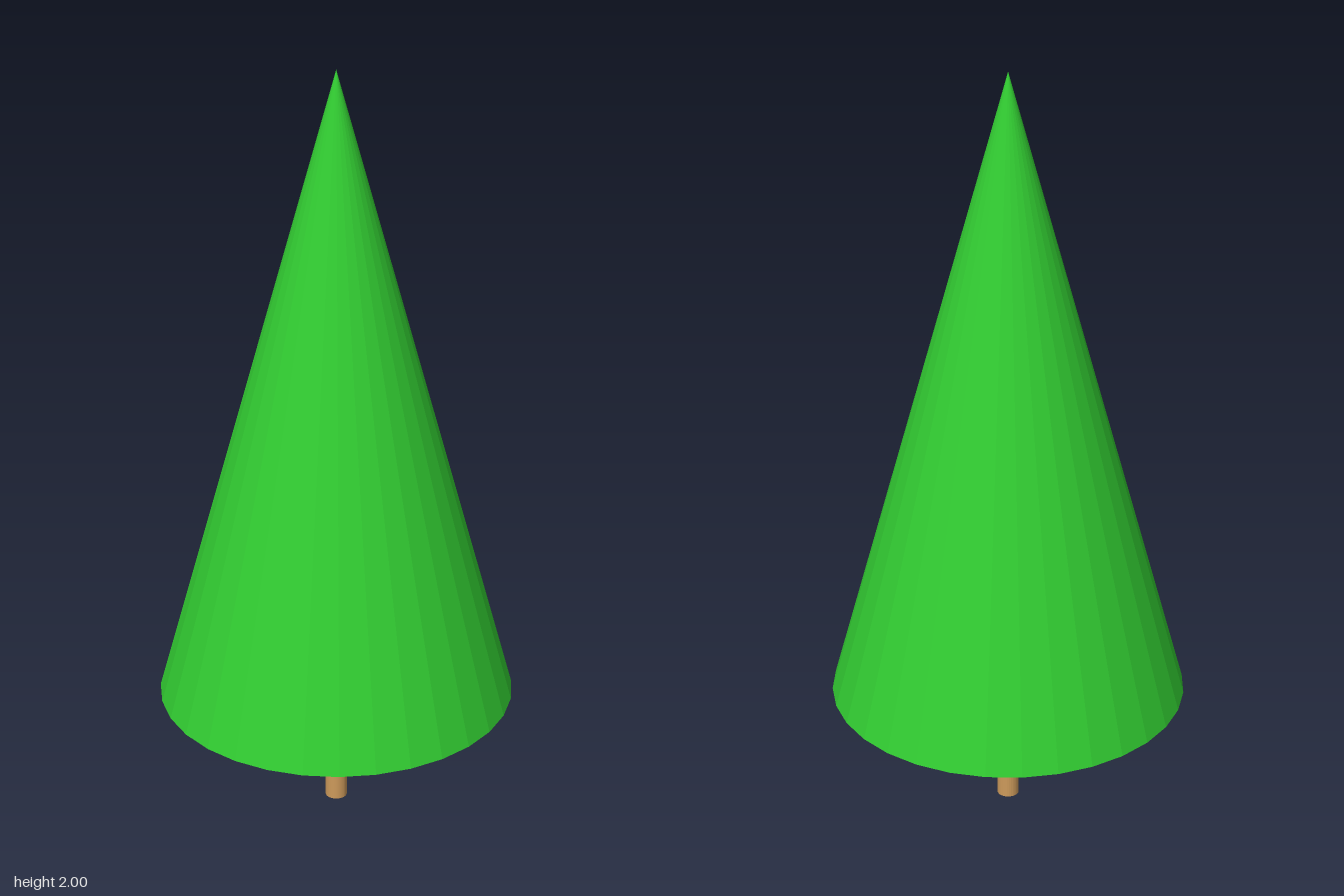
import * as THREE from 'three';

const SIDES = 32;

// Adds an upright round part that spans from bottom to top
function addPart(group, name, radiusTop, radiusBottom, bottom, top, color) {
  const geometry = new THREE.CylinderGeometry(radiusTop, radiusBottom, top - bottom, SIDES);
  const material = new THREE.MeshStandardMaterial({ color, flatShading: true });
  const mesh = new THREE.Mesh(geometry, material);
  mesh.name = name;
  mesh.position.y = (bottom + top) / 2;
  group.add(mesh);
}

export function createModel() {
  const tree = new THREE.Group();
  tree.name = 'tree';

  // Slim trunk, ending at the underside of the foliage
  addPart(tree, 'trunk', 0.029, 0.029, 0, 0.345, 0xcd9a5b);

  // Conical foliage with a closed base
  addPart(tree, 'foliage', 0, 0.466, 0.345, 2, 0x32cd32);

  return tree;
}
